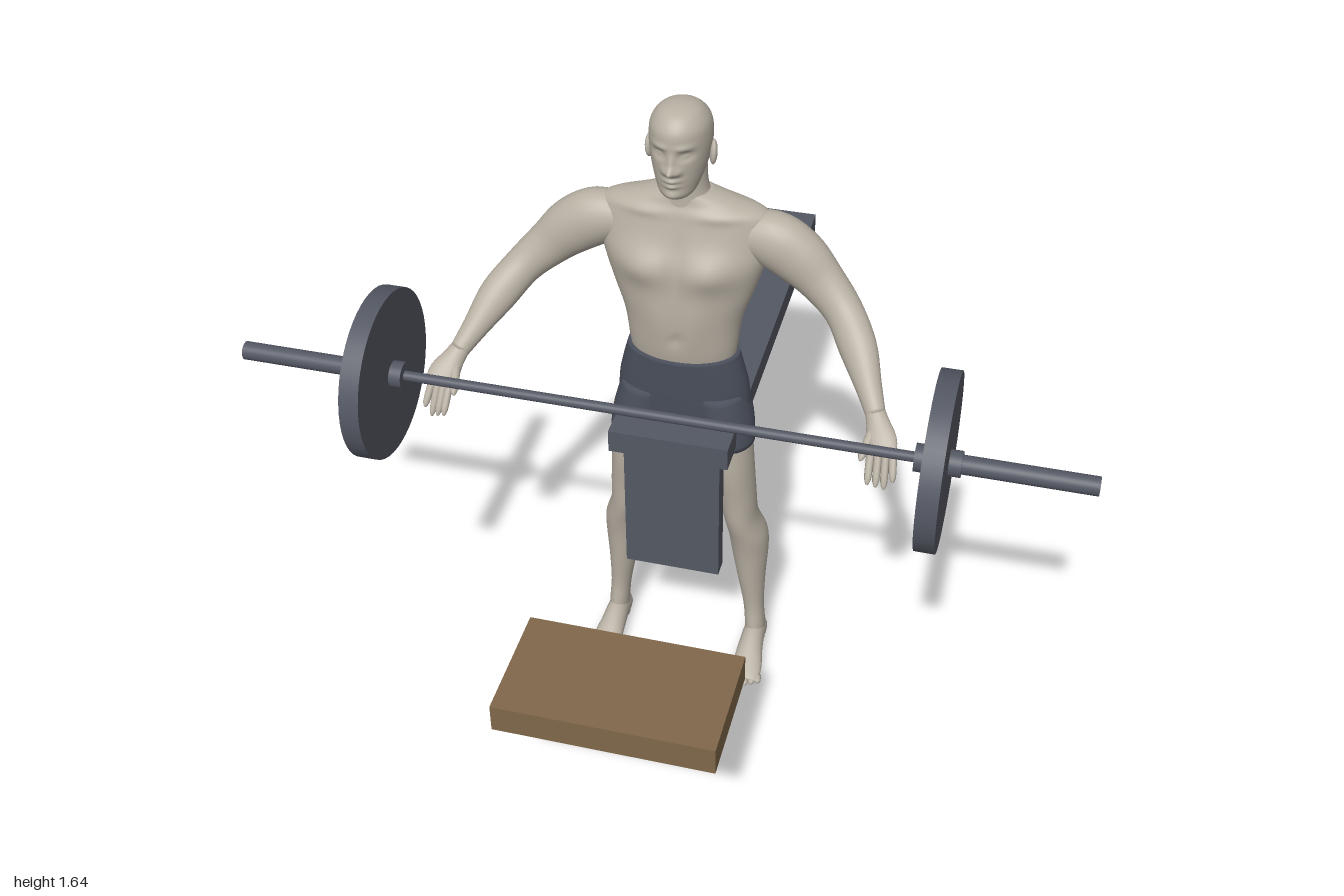
import * as THREE from 'three';

const mat = (name, color) => Object.assign(new THREE.MeshStandardMaterial({ color }), { name });
const V = (x, y, z) => new THREE.Vector3(x, y, z);

export function createModel() {
  const skin = mat('skin', 0xb8b0a3), cloth = mat('shortsCloth', 0x4b505c);
  const steel = mat('darkSteel', 0x545863), wood = mat('wood', 0x80674a);
  const model = new THREE.Group();
  const group = (name, parent = model) => {
    const g = new THREE.Group();
    g.name = name;
    parent.add(g);
    return g;
  };
  const add = (parent, name, geo, material, x = 0, y = 0, z = 0) => {
    const m = new THREE.Mesh(geo, material);
    m.name = name;
    m.position.set(x, y, z);
    parent.add(m);
    return m;
  };

  // Catmull-Rom subdivision of rows of numbers
  const smooth = (rows, k) => {
    const out = [], at = i => rows[Math.min(rows.length - 1, Math.max(0, i))];
    for (let i = 0; i < rows.length - 1; i++) for (let s = 0; s < k; s++) {
      const t = s / k;
      out.push(at(i).map((p1, c) => {
        const p0 = at(i - 1)[c], p2 = at(i + 1)[c], p3 = at(i + 2)[c];
        return 0.5 * (2 * p1 + (p2 - p0) * t + (2 * p0 - 5 * p1 + 4 * p2 - p3) * t * t
          + (3 * p1 - p0 - 3 * p2 + p3) * t * t * t);
      }));
    }
    out.push(at(rows.length - 1));
    return out;
  };

  // Closed skin over rings of points, capped at both ends
  const loft = rings => {
    const n = rings[0].length, pos = [], idx = [];
    rings.forEach(r => r.forEach(p => pos.push(p.x, p.y, p.z)));
    const id = (i, j) => i * n + j % n;
    for (let i = 0; i < rings.length - 1; i++) for (let j = 0; j < n; j++)
      idx.push(id(i, j), id(i, j + 1), id(i + 1, j + 1), id(i, j), id(i + 1, j + 1), id(i + 1, j));
    [0, rings.length - 1].forEach(i => {
      const c = rings[i].reduce((s, p) => s.add(p), V(0, 0, 0)).divideScalar(n);
      pos.push(c.x, c.y, c.z);
      const k = pos.length / 3 - 1;
      for (let j = 0; j < n; j++) i ? idx.push(k, id(i, j), id(i, j + 1)) : idx.push(k, id(i, j + 1), id(i, j));
    });
    const g = new THREE.BufferGeometry();
    g.setAttribute('position', new THREE.Float32BufferAttribute(pos, 3));
    g.setIndex(idx);
    g.computeVertexNormals();
    return g;
  };

  // Upright form, rows upward: [y, centreX, halfWidth, zBack, zFront]
  // bumps: [side (1 front, -1 back), x, y, spreadX, spreadY, height], mirrored in x
  const upright = (rows, side = 1, bumps = [], n = 32, k = 4) => loft(smooth(rows, k).map(([y, x, w, b, f]) =>
    Array.from({ length: n }, (_, j) => {
      const a = j / n * Math.PI * 2, c = Math.cos(a);
      const p = V(x * side + w * Math.sin(a), y, (b + f) / 2 + (f - b) / 2 * c);
      bumps.forEach(([s, bx, by, sx, sy, h]) => {
        if (s * c <= 0) return;
        const e = ((Math.abs(p.x) - bx) / sx) ** 2 + ((y - by) / sy) ** 2;
        p.z += s * h * Math.exp(-e) * Math.min(1, Math.abs(c) * 2);
      });
      return p;
    })));

  // Limb along a path: [x, y, z, halfWidth, halfDepth]
  const limb = (rows, side, ref, n = 20, k = 4) => {
    const pts = smooth(rows, k).map(r => [V(r[0] * side, r[1], r[2]), r[3], r[4]]);
    return loft(pts.map(([p, w, h], i) => {
      const next = pts[Math.min(i + 1, pts.length - 1)][0], prev = pts[Math.max(i - 1, 0)][0];
      const t = next.clone().sub(prev).normalize();
      const s = ref.clone().cross(t).normalize(), m = t.clone().cross(s);
      return Array.from({ length: n }, (_, j) => {
        const a = j / n * Math.PI * 2;
        return p.clone().addScaledVector(s, w * Math.cos(a)).addScaledVector(m, h * Math.sin(a));
      });
    }));
  };
  // Finger or toe with a rounded tip
  const digit = (a, b, r, side, ref) => {
    const at = (t, q) => [...a.map((v, i) => v + (b[i] - v) * t), r * q, r * q];
    return limb([at(0, 1), at(0.5, 1), at(0.85, 0.85), at(1, 0.25)], side, ref, 10, 2);
  };
  const UP = V(0, 1, 0), FRONT = V(0, 0, 1);

  // Bench
  const bench = group('bench');
  add(bench, 'benchTop', new THREE.BoxGeometry(0.295, 0.06, 1.075), steel, 0, 0.775, -0.293);
  [0.188, -0.087].forEach(z =>
    add(bench, 'benchLeg', new THREE.BoxGeometry(0.24, 0.38, 0.045), steel, 0, 0.555, z));

  // Wooden step
  add(model, 'woodenStep', new THREE.BoxGeometry(0.53, 0.075, 0.295), wood, 0, 0.4025, 0.688);

  // Barbell
  const barbell = group('barbell');
  const rod = (name, r, x0, x1) => add(barbell, name,
    new THREE.CylinderGeometry(r, r, x1 - x0, 48).rotateZ(Math.PI / 2), steel, (x0 + x1) / 2, 0.98, 0.368);
  rod('bar', 0.012, -0.61, 0.61);
  [1, -1].forEach(s => [['sleeve', 0.022, 0.6, 1], ['innerCollar', 0.032, 0.598, 0.627],
    ['weightPlate', 0.204, 0.627, 0.674], ['outerCollar', 0.03, 0.674, 0.702]].forEach(([name, r, a, b]) =>
    rod(name, r, Math.min(a * s, b * s), Math.max(a * s, b * s))));

  // Torso with chest, belly, shoulder blades and spine groove
  const man = group('man');
  add(man, 'torso', upright([
    [0.95, 0, 0.125, 0.01, 0.155], [1.0, 0, 0.131, 0.003, 0.166], [1.08, 0, 0.142, -0.008, 0.172],
    [1.16, 0, 0.168, -0.016, 0.173], [1.23, 0, 0.19, -0.022, 0.17], [1.29, 0, 0.208, -0.022, 0.152],
    [1.34, 0, 0.208, -0.014, 0.138], [1.368, 0, 0.185, 0, 0.13], [1.388, 0, 0.125, 0.012, 0.122],
    [1.41, 0, 0.062, 0.024, 0.118],
  ], 1, [
    [1, 0.08, 1.24, 0.06, 0.045, 0.02], [1, 0, 1.24, 0.014, 0.08, -0.008], [1, 0.045, 1.1, 0.03, 0.08, 0.006],
    [1, 0, 1.045, 0.012, 0.012, -0.008], [1, 0.09, 1.365, 0.05, 0.012, 0.005],
    [-1, 0.09, 1.27, 0.05, 0.07, 0.014], [-1, 0, 1.15, 0.02, 0.17, -0.014], [-1, 0.045, 1.06, 0.025, 0.08, 0.006],
  ], 64, 6), skin);
  add(man, 'neck', upright([[1.36, 0, 0.075, 0.01, 0.125], [1.41, 0, 0.058, 0.02, 0.122],
    [1.45, 0, 0.053, 0.028, 0.122], [1.52, 0, 0.052, 0.025, 0.13]]), skin);

  // Head with brow, eye sockets, nose, lips and chin
  add(man, 'head', upright([
    [1.43, 0, 0.022, 0.115, 0.165], [1.445, 0, 0.04, 0.085, 0.183], [1.47, 0, 0.052, 0.05, 0.188],
    [1.5, 0, 0.061, 0.027, 0.19], [1.53, 0, 0.067, 0.014, 0.191], [1.565, 0, 0.07, 0.008, 0.191],
    [1.6, 0, 0.066, 0.019, 0.188], [1.625, 0, 0.051, 0.045, 0.17], [1.637, 0, 0.033, 0.072, 0.148],
    [1.642, 0, 0.01, 0.1, 0.122],
  ], 1, [
    [1, 0, 1.515, 0.012, 0.011, 0.022], [1, 0, 1.535, 0.009, 0.018, 0.008], [1, 0.016, 1.512, 0.007, 0.008, 0.007],
    [1, 0.03, 1.55, 0.015, 0.01, -0.012], [1, 0.03, 1.549, 0.009, 0.005, 0.007], [1, 0.028, 1.57, 0.02, 0.006, 0.005],
    [1, 0, 1.49, 0.018, 0.005, 0.009], [1, 0, 1.476, 0.016, 0.005, 0.008], [1, 0, 1.45, 0.02, 0.012, 0.007],
  ], 96, 8), skin);

  // Shorts: hips with buttocks
  add(man, 'shortsHips', upright([
    [0.765, 0, 0.11, 0.03, 0.145], [0.81, 0, 0.158, 0.005, 0.158], [0.87, 0, 0.161, -0.005, 0.164],
    [0.93, 0, 0.149, -0.001, 0.168], [0.98, 0, 0.136, 0, 0.171],
  ], 1, [[-1, 0.07, 0.87, 0.05, 0.05, 0.018], [-1, 0, 0.85, 0.014, 0.07, -0.016]], 64, 5), cloth);

  [1, -1].forEach(s => {
    const side = s > 0 ? 'left' : 'right';
    const ear = add(man, side + 'Ear', new THREE.SphereGeometry(1, 16, 12), skin, 0.072 * s, 1.523, 0.098);
    ear.scale.set(0.009, 0.029, 0.017);
    ear.rotation.set(-0.2, 0.3 * s, 0);

    // Leg
    const leg = group(side + 'Leg', man);
    add(leg, 'shortsLeg', upright([[0.728, 0.112, 0.069, 0.024, 0.17], [0.79, 0.103, 0.071, 0.004, 0.167],
      [0.87, 0.085, 0.068, -0.006, 0.16]], s), cloth);
    add(leg, 'legSkin', upright([
      [0.012, 0.189, 0.025, 0.02, 0.09], [0.05, 0.189, 0.026, 0.017, 0.1], [0.09, 0.187, 0.026, 0.022, 0.098],
      [0.15, 0.182, 0.027, 0.024, 0.093], [0.25, 0.174, 0.037, 0.013, 0.103], [0.34, 0.169, 0.047, 0.0, 0.114],
      [0.4, 0.164, 0.049, 0.001, 0.126], [0.47, 0.149, 0.043, 0.022, 0.142], [0.55, 0.139, 0.048, 0.032, 0.15],
      [0.65, 0.125, 0.056, 0.03, 0.164], [0.76, 0.112, 0.062, 0.03, 0.165]], s), skin);
    add(leg, 'foot', limb([
      [0.189, 0.026, 0.014, 0.014, 0.016], [0.189, 0.032, 0.03, 0.027, 0.031], [0.189, 0.042, 0.075, 0.029, 0.041],
      [0.19, 0.035, 0.125, 0.033, 0.034], [0.193, 0.023, 0.175, 0.039, 0.022], [0.194, 0.015, 0.21, 0.038, 0.013],
      [0.194, 0.013, 0.222, 0.03, 0.008]], s, UP), skin);
    for (let i = 0; i < 5; i++) {
      const x = 0.163 + i * 0.0155 + (i ? 0.003 : 0);
      add(leg, 'toe', digit([x, 0.014, 0.2], [x + 0.003, 0.01, 0.254 - i * 0.008], i ? 0.009 : 0.012, s, UP), skin);
    }

    // Arm
    const arm = group(side + 'Arm', man);
    add(arm, 'armSkin', limb([
      [0.12, 1.305, 0.066, 0.045, 0.045], [0.2, 1.3, 0.068, 0.068, 0.058], [0.265, 1.265, 0.072, 0.068, 0.056],
      [0.325, 1.212, 0.083, 0.055, 0.047], [0.382, 1.16, 0.112, 0.046, 0.042], [0.428, 1.108, 0.17, 0.045, 0.038],
      [0.467, 1.05, 0.233, 0.031, 0.028], [0.494, 1.01, 0.28, 0.023, 0.021]], s, FRONT, 28, 5), skin);
    add(arm, 'palm', limb([
      [0.487, 1.02, 0.268, 0.022, 0.021], [0.502, 0.999, 0.295, 0.027, 0.02], [0.515, 0.978, 0.325, 0.036, 0.017],
      [0.523, 0.958, 0.35, 0.034, 0.012]], s, V(-0.2 * s, 0.8, 0.6), 20, 3), skin);
    for (let i = 0; i < 4; i++)
      add(arm, 'finger', digit([0.497 + i * 0.016, 0.965 - i * 0.003, 0.343 - i * 0.004],
        [0.5 + i * 0.018, 0.9 - (i % 3) * 0.009, 0.395 - i * 0.007], 0.009, s, FRONT), skin);
    add(arm, 'thumb', digit([0.495, 0.995, 0.3], [0.478, 0.95, 0.375], 0.011, s, UP), skin);
  });
  return model;
}
